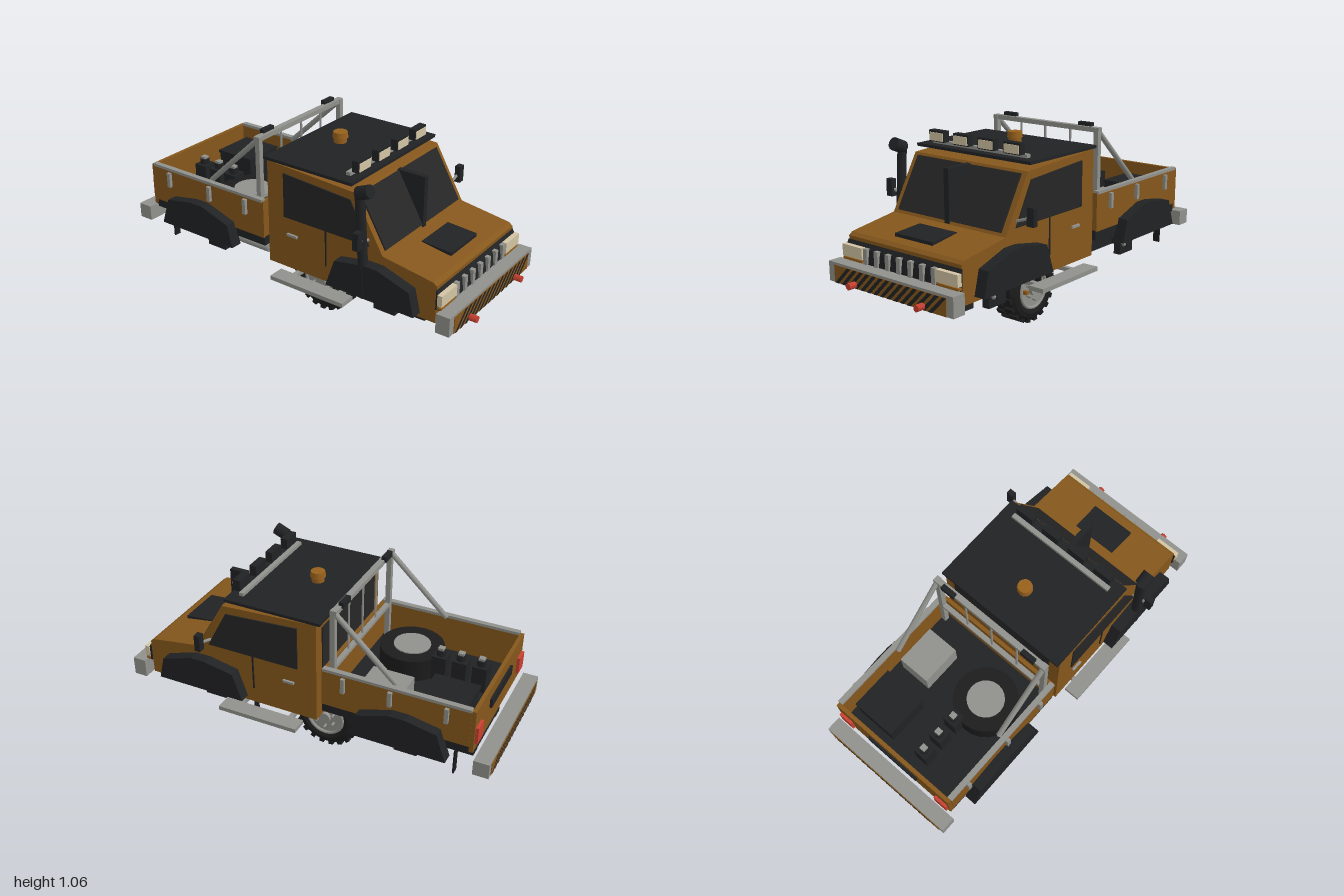
import * as THREE from 'three';

const mat = (name, color, side = THREE.FrontSide) => {
  const m = new THREE.MeshStandardMaterial({ color, side });
  m.name = name;
  return m;
};

export function createModel() {
  const paint = mat('ochrePaint', 0x85571c);
  const black = mat('blackTrim', 0x212224);
  const rubber = mat('rubber', 0x1c1c1d);
  const glass = mat('darkGlass', 0x262626);
  const steel = mat('greySteel', 0x90908c);
  const cream = mat('creamLens', 0xd2c4a4);
  const red = mat('redLight', 0xc84030);
  const amber = mat('amberLight', 0x96601c);

  const root = new THREE.Group();
  root.name = 'truck';
  const add = (name, geo, m, parent = root) => {
    const mesh = new THREE.Mesh(geo, m);
    mesh.name = name;
    parent.add(mesh);
    return mesh;
  };
  // box from its limits on each axis
  const box = (name, m, x0, x1, y0, y1, z0, z1, parent) => {
    const g = new THREE.BoxGeometry(x1 - x0, y1 - y0, z1 - z0);
    g.translate((x0 + x1) / 2, (y0 + y1) / 2, (z0 + z1) / 2);
    return add(name, g, m, parent);
  };
  const boxPair = (name, m, x0, x1, ...rest) => {
    box(name + 'Left', m, x0, x1, ...rest);
    box(name + 'Right', m, -x1, -x0, ...rest);
  };
  // round bar between two points
  const rod = (name, m, a, b, r, n = 10, r2 = r) => {
    const va = new THREE.Vector3(...a), d = new THREE.Vector3(...b).sub(va);
    const mesh = add(name, new THREE.CylinderGeometry(r2, r, d.length(), n), m);
    mesh.position.copy(va).addScaledVector(d, 0.5);
    mesh.quaternion.setFromUnitVectors(new THREE.Vector3(0, 1, 0), d.normalize());
    return mesh;
  };
  // (z, y) outline extruded from x0 to x1
  const profile = (name, m, pts, x0, x1) => {
    const shape = new THREE.Shape(pts.map(p => new THREE.Vector2(...p)));
    const g = new THREE.ExtrudeGeometry(shape, { depth: x1 - x0, bevelEnabled: false });
    g.rotateY(-Math.PI / 2).translate(x1, 0, 0);
    return add(name, g, m);
  };
  const profilePair = (name, m, pts, x0, x1) => {
    profile(name + 'Left', m, pts, x0, x1);
    profile(name + 'Right', m, pts, -x1, -x0);
  };

  // cab and hood
  profile('cabBody', paint, [[0.86, 0.405], [0.86, 0.595], [0.84, 0.61], [0.57, 0.65],
    [0.41, 0.925], [-0.1, 0.952], [-0.1, 0.405]], -0.36, 0.36);
  const slope = (t, n) => [0.57 - 0.16 * t + 0.86 * n, 0.65 + 0.275 * t + 0.5 * n];
  profile('windshield', glass, [slope(0.05, 0), slope(0.95, 0), slope(0.95, 0.008), slope(0.05, 0.008)], -0.33, 0.33);
  box('windshieldDivider', black, -0.015, 0.015, 0.652, 0.917, 0.41, 0.57);
  profilePair('sideWindow', glass, [[0.5, 0.68], [0.39, 0.885], [0, 0.91], [0, 0.68]], 0.36, 0.366);
  box('rearWindow', glass, -0.3, 0.3, 0.68, 0.91, -0.106, -0.1);
  boxPair('doorSeam', black, 0.36, 0.364, 0.49, 0.68, 0.246, 0.254);
  boxPair('doorHandle', steel, 0.36, 0.372, 0.585, 0.597, 0.02, 0.08);
  profile('hoodVent', black, [[0.79, 0.61], [0.79, 0.634], [0.63, 0.645], [0.63, 0.63]], -0.12, 0.12);
  profile('hoodFrontStrip', black, [[0.79, 0.605], [0.787, 0.62], [0.63, 0.64], [0.63, 0.63]], -0.1, 0.1);

  // grille and headlights
  profile('grillePanel', black, [[0.86, 0.48], [0.885, 0.48], [0.875, 0.55], [0.86, 0.578]], -0.365, 0.365);
  for (let i = -3; i <= 3; i++)
    box('grilleBar', steel, i * 0.073 - 0.012, i * 0.073 + 0.012, 0.485, 0.56, 0.87, 0.892);
  boxPair('headlight', cream, 0.237, 0.37, 0.503, 0.56, 0.87, 0.895);
  boxPair('indicator', amber, 0.24, 0.37, 0.486, 0.498, 0.87, 0.892);

  // bumpers with hazard stripes
  const bumper = (name, x, y0, y1, z0, z1, faceZ, dir) => {
    box(name, steel, -x, x, y0, y1, z0, z1);
    const h = y1 - y0 - 0.012;
    box(name + 'Panel', paint, -0.36, 0.36, y0, y0 + h, faceZ - 0.003, faceZ + 0.003);
    for (let i = 0; i < 15; i++) {
      const s = -0.355 + i * 0.0435, w = 0.024;
      const g = new THREE.ShapeGeometry(new THREE.Shape([[s, 0], [s + w, 0], [s + w + h, h], [s + h, h]]
        .map(p => new THREE.Vector2(...p))));
      if (dir < 0) g.rotateY(Math.PI);
      g.translate(0, y0, faceZ + dir * 0.005);
      add(name + 'Stripe', g, black);
    }
  };
  bumper('frontBumper', 0.4, 0.387, 0.485, 0.885, 0.956, 0.956, 1);
  bumper('rearBumper', 0.39, 0.39, 0.47, -0.994, -0.915, -0.994, -1);
  for (const s of [-1, 1])
    rod('frontTowLamp', red, [s * 0.22, 0.405, 0.95], [s * 0.22, 0.405, 1], 0.018, 6);

  // fender flares, running boards, mud flaps
  const flare = [[0.78, 0.43], [0.75, 0.55], [0.58, 0.605], [0.5, 0.605], [0.34, 0.575], [0.29, 0.43]];
  profilePair('frontFender', black, flare, 0.355, 0.418);
  profilePair('rearFender', black, flare.map(([z, y]) => [z - 1.08, y]), 0.355, 0.418);
  boxPair('runningBoard', steel, 0.365, 0.45, 0.36, 0.382, -0.025, 0.41);
  for (const z of [0.05, 0.33]) boxPair('boardBracket', steel, 0.2, 0.385, 0.352, 0.372, z - 0.012, z + 0.012);
  for (const z of [0.27, -0.805]) boxPair('mudFlap', rubber, 0.29, 0.328, 0.305, 0.44, z - 0.004, z + 0.004);

  // mirrors and snorkel
  for (const s of [-1, 1]) {
    rod('mirrorArm', steel, [s * 0.355, 0.708, 0.49], [s * 0.44, 0.738, 0.49], 0.008, 6);
    box('mirror', black, s * 0.453 - 0.019, s * 0.453 + 0.019, 0.702, 0.79, 0.48, 0.51);
  }
  rod('snorkelPipe', black, [-0.397, 0.43, 0.5], [-0.397, 0.955, 0.465], 0.024, 12);
  rod('snorkelHead', black, [-0.397, 0.95, 0.458], [-0.397, 0.977, 0.522], 0.033, 12);

  // roof plate, light bar and beacon
  box('roofPlate', black, -0.362, 0.362, 0.952, 0.967, -0.12, 0.395);
  box('lightBar', steel, -0.3, 0.3, 0.967, 0.984, 0.32, 0.345);
  for (const x of [-0.24, -0.08, 0.08, 0.24]) {
    box('roofLamp', black, x - 0.049, x + 0.049, 0.984, 1.04, 0.345, 0.382);
    box('roofLampLens', cream, x - 0.044, x + 0.044, 0.989, 1.03, 0.38, 0.386);
  }
  rod('beaconBase', amber, [0, 0.967, 0.07], [0, 0.995, 0.07], 0.033, 12);
  rod('beacon', amber, [0, 0.993, 0.07], [0, 1.022, 0.07], 0.04, 12, 0.036);

  // cargo bed
  box('bedFloor', black, -0.36, 0.36, 0.475, 0.525, -0.88, -0.13);
  boxPair('bedSide', paint, 0.345, 0.365, 0.52, 0.72, -0.88, -0.13);
  box('bedFrontWall', paint, -0.345, 0.345, 0.52, 0.72, -0.15, -0.13);
  box('tailgate', paint, -0.362, 0.362, 0.49, 0.72, -0.9, -0.88);
  box('tailgateSlot', black, -0.155, 0.155, 0.61, 0.66, -0.912, -0.9);
  boxPair('tailLight', red, 0.275, 0.35, 0.535, 0.625, -0.915, -0.9);
  boxPair('bedRail', steel, 0.342, 0.37, 0.715, 0.73, -0.88, -0.135);
  for (const z of [-0.245, -0.485, -0.765])
    boxPair('bedSidePost', steel, 0.365, 0.382, 0.625, 0.705, z - 0.01, z + 0.01);

  // roll bar and window guard
  boxPair('rollBarPost', steel, 0.315, 0.342, 0.52, 1.04, -0.188, -0.162);
  box('rollBarTop', steel, -0.342, 0.342, 1.018, 1.042, -0.195, -0.165);
  box('rollBarLower', steel, -0.342, 0.342, 0.715, 0.732, -0.188, -0.162);
  for (const s of [-1, 1]) {
    rod('rollBarBrace', steel, [s * 0.328, 1.025, -0.18], [s * 0.328, 0.725, -0.5], 0.014, 8);
    box('rearWorkLamp', black, s * 0.245 - 0.039, s * 0.245 + 0.039, 1.03, 1.06, -0.205, -0.18);
  }
  for (const x of [-0.16, 0, 0.16]) rod('guardBar', steel, [x, 0.72, -0.175], [x, 1.03, -0.175], 0.006, 6);

  // cargo
  rod('spareTire', rubber, [-0.145, 0.525, -0.39], [-0.145, 0.64, -0.39], 0.165, 24);
  rod('spareRim', steel, [-0.145, 0.6, -0.39], [-0.145, 0.646, -0.39], 0.095, 20);
  box('steelCrate', steel, 0.135, 0.31, 0.525, 0.65, -0.515, -0.3);
  box('toolBox', black, 0.085, 0.31, 0.525, 0.65, -0.825, -0.605);
  box('toolBoxLid', black, 0.08, 0.315, 0.65, 0.665, -0.83, -0.6);
  for (const z of [-0.775, -0.67, -0.565]) {
    box('canister', black, -0.13, -0.055, 0.525, 0.66, z - 0.037, z + 0.037);
    rod('canisterNeck', black, [-0.092, 0.66, z], [-0.092, 0.69, z], 0.025, 10);
    box('canisterCap', steel, -0.107, -0.077, 0.69, 0.702, z - 0.015, z + 0.015);
  }

  // chassis, axles, driveline and exhaust
  boxPair('chassisRail', black, 0.14, 0.2, 0.337, 0.405, -0.86, 0.82);
  for (const z of [0.8, 0.2, -0.2, -0.84]) box('crossMember', black, -0.14, 0.14, 0.345, 0.4, z - 0.02, z + 0.02);
  box('frontCrossMember', black, -0.28, 0.28, 0.335, 0.39, 0.7, 0.76);
  for (const z of [0.535, -0.54]) {
    rod('axle', black, [-0.3, 0.36, z], [0.3, 0.36, z], 0.028, 12);
    rod('differential', black, [0, 0.358, z - 0.062], [0, 0.358, z + 0.062], 0.062, 14);
    boxPair('axleMount', black, 0.24, 0.28, 0.298, 0.42, z - 0.06, z + 0.06);
    for (const s of [-1, 1])
      rod('shockAbsorber', steel, [s * 0.29, 0.35, z + 0.035], [s * 0.29, 0.42, z + 0.085], 0.011, 8);
  }
  rod('driveShaft', black, [0, 0.365, 0.48], [0, 0.365, -0.48], 0.018, 10);
  rod('exhaustPipe', steel, [-0.24, 0.385, -0.1], [-0.24, 0.385, -0.85], 0.014, 10);
  rod('muffler', steel, [-0.24, 0.385, -0.2], [-0.24, 0.385, -0.42], 0.022, 12);

  // central wheel with chunky tread
  const wheel = new THREE.Group();
  wheel.name = 'wheel';
  wheel.position.y = 0.185;
  root.add(wheel);
  const tirePts = [[0.105, -0.06], [0.13, -0.073], [0.155, -0.066], [0.172, -0.05],
    [0.172, 0.05], [0.155, 0.066], [0.13, 0.073], [0.105, 0.06], [0.105, -0.06]];
  const tire = new THREE.LatheGeometry(tirePts.map(p => new THREE.Vector2(...p)), 28);
  add('tire', tire.toNonIndexed().rotateZ(Math.PI / 2), rubber, wheel).geometry.computeVertexNormals();
  add('rim', new THREE.CylinderGeometry(0.106, 0.106, 0.118, 24).rotateZ(Math.PI / 2), steel, wheel);
  add('hub', new THREE.CylinderGeometry(0.032, 0.032, 0.16, 14).rotateZ(Math.PI / 2), steel, wheel);
  for (const s of [-1, 1]) {
    add('rimLip', new THREE.TorusGeometry(0.1, 0.009, 8, 28).rotateY(Math.PI / 2), steel, wheel).position.x = s * 0.064;
    add('valveCap', new THREE.BoxGeometry(0.05, 0.02, 0.02), amber, wheel).position.set(s * 0.058, 0, 0.07);
    for (let i = 0; i < 6; i++) {
      const a = (i + 0.5) * Math.PI / 3;
      const nut = add('wheelNut', new THREE.CylinderGeometry(0.007, 0.007, 0.03, 6).rotateZ(Math.PI / 2), steel, wheel);
      nut.position.set(s * 0.072, Math.sin(a) * 0.055, Math.cos(a) * 0.055);
    }
    for (let i = 0; i < 20; i++) {
      const a = (i + (s > 0 ? 0.5 : 0)) * Math.PI / 10;
      const g = new THREE.BoxGeometry(0.052, 0.026, 0.026);
      g.translate(s * 0.032, 0.171, 0).rotateX(a);
      add('treadBlock', g, rubber, wheel);
    }
  }
  return root;
}
